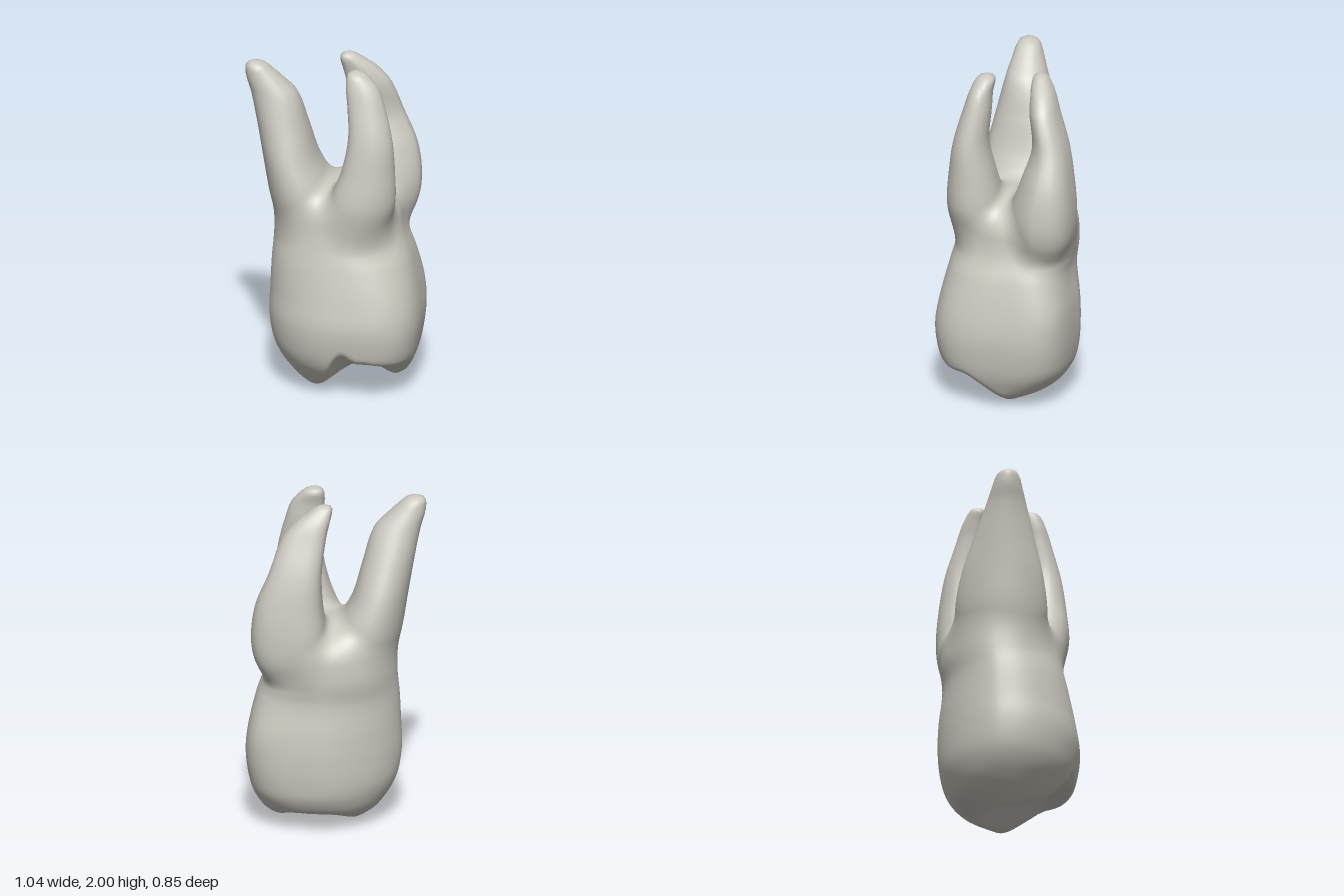
import * as THREE from 'three';

// Cross-sections: [y, centre x, centre z, radius x, radius z, then the outline
// exponent of each corner: -x+z, +x+z, -x-z, +x-z] (2 is an ellipse)
const CROWN = [
  [-0.02, 0.11, 0.04, 0.23, 0.16, 2, 2, 2, 2],
  [0.05, 0.10, 0.025, 0.305, 0.245, 2, 2, 2, 2],
  [0.1, 0.09, 0.005, 0.345, 0.3, 2.1, 2.4, 2, 2.4],
  [0.2, 0.078, 0.005, 0.403, 0.37, 2.1, 2.9, 1.8, 3],
  [0.3, 0.07, 0.01, 0.435, 0.4, 2.1, 3.1, 1.75, 3.4],
  [0.45, 0.068, 0.015, 0.452, 0.415, 2.1, 3, 1.7, 3.8],
  [0.6, 0.063, 0.008, 0.442, 0.402, 2.1, 2.9, 1.7, 4.2],
  [0.8, 0.045, 0, 0.415, 0.37, 2.1, 2.4, 1.7, 3.6],
  [0.95, 0.028, -0.022, 0.38, 0.358, 2, 2, 1.8, 2.7],
  [1.1, 0.035, -0.03, 0.355, 0.345, 1.9, 1.9, 1.8, 2.4],
  [1.3, 0.06, -0.03, 0.33, 0.33, 1.9, 1.9, 1.8, 2.4],
];

// A root keeps the same corner exponents from base to tip
const root = (corners, sections) => sections.map((s) => [...s, ...corners]);
const ROOTS = {
  palatalRoot: root([2, 2.2, 2, 2.2], [
    [0.9, -0.12, 0, 0.2, 0.21], [1.05, -0.17, 0, 0.185, 0.245],
    [1.2, -0.195, 0, 0.195, 0.272], [1.4, -0.26, 0.01, 0.162, 0.245],
    [1.6, -0.305, 0.025, 0.15, 0.188], [1.8, -0.355, 0.045, 0.137, 0.125],
    [1.9, -0.415, 0.057, 0.105, 0.092], [1.97, -0.455, 0.065, 0.07, 0.067],
    [2.0, -0.465, 0.07, 0.05, 0.045],
  ]),
  frontRoot: root([2.5, 1.9, 2.5, 2], [
    [0.9, 0.15, 0.15, 0.16, 0.14], [1.05, 0.168, 0.168, 0.178, 0.173],
    [1.2, 0.192, 0.193, 0.193, 0.17], [1.4, 0.228, 0.205, 0.157, 0.138],
    [1.6, 0.24, 0.21, 0.13, 0.103], [1.8, 0.21, 0.18, 0.11, 0.081],
    [1.9, 0.185, 0.165, 0.097, 0.067], [1.97, 0.155, 0.145, 0.066, 0.058],
    [2.0, 0.145, 0.14, 0.045, 0.04],
  ]),
  backRoot: root([3.1, 1.5, 2.6, 2.7], [
    [0.9, 0.2, -0.2, 0.17, 0.15], [1.05, 0.24, -0.22, 0.208, 0.19],
    [1.2, 0.25, -0.23, 0.222, 0.195], [1.4, 0.248, -0.255, 0.197, 0.155],
    [1.6, 0.21, -0.265, 0.155, 0.107], [1.8, 0.165, -0.215, 0.13, 0.087],
    [1.9, 0.115, -0.19, 0.1, 0.072], [1.97, 0.062, -0.165, 0.062, 0.052],
    [2.0, 0.05, -0.16, 0.045, 0.038],
  ]),
};

// Smooth interpolation of a section table at height y
function sectionAt(table, y) {
  const last = table.length - 1;
  if (y <= table[0][0]) return table[0];
  if (y >= table[last][0]) return table[last];
  let i = 0;
  while (table[i + 1][0] < y) i++;
  const a = table[i], b = table[i + 1];
  const p = table[Math.max(i - 1, 0)], n = table[Math.min(i + 2, last)];
  const w = b[0] - a[0], t = (y - a[0]) / w, t2 = t * t, t3 = t2 * t;
  return a.map((va, c) => {
    const m0 = (b[c] - p[c]) / (b[0] - p[0]) * w;
    const m1 = (n[c] - va) / (n[0] - a[0]) * w;
    return (2 * t3 - 3 * t2 + 1) * va + (t3 - 2 * t2 + t) * m0 + (3 * t2 - 2 * t3) * b[c] + (t3 - t2) * m1;
  });
}

// Rounded union and intersection of two distances
function smin(a, b, k) {
  const h = Math.max(k - Math.abs(a - b), 0) / k;
  return Math.min(a, b) - h * h * k / 4;
}
const smax = (a, b, k) => -smin(-a, -b, k);

// Distance to a column of cross-sections
function column(table, x, y, z) {
  const [, cx, cz, rx, rz, ...corners] = sectionAt(table, y);
  const e = corners[(x > cx ? 1 : 0) + (z > cz ? 0 : 2)];
  const q = (Math.abs((x - cx) / rx) ** e + Math.abs((z - cz) / rz) ** e) ** (1 / e);
  return (q - 1) * Math.min(rx, rz);
}

// One cone-shaped cusp, with its own steepness towards the front and back
function cusp(x, z, [cx, cz, height, slope, front, back]) {
  const dz = (z - cz) * (z > cz ? front : back);
  return height + slope * (Math.hypot(x - cx, dz, 0.04) - 0.04);
}

// Height of the chewing surface: three cusps, a ridge and a front groove
function chewingHeight(x, z) {
  const ridge = 0.1 + 0.22 * THREE.MathUtils.smoothstep(z, -0.2, 0.25);
  let h = smin(
    cusp(x, z, [-0.12, 0.06, -0.01, 0.72, 0.5, 0.5]),
    cusp(x, z, [0.36, -0.08, 0.02, 0.78, 1, 0.45]), 0.03);
  h = smin(h, cusp(x, z, [0.42, 0.25, 0.2, 0.2, 0.5, 0.5]), 0.03);
  h = smin(h, ridge, 0.03);
  return h + 0.13 * Math.exp(-((x - 0.08) ** 2) / 0.007 - ((z - 0.4) ** 2) / 0.03);
}

// Whole body: domed crown blended with three roots
function field(x, y, z) {
  let d = column(CROWN, x, y, z);
  const dome = 1.27 - 0.9 * ((x - 0.03) ** 2 + (z + 0.02) ** 2);
  d = smax(d, y - dome, 0.1);
  d = smax(d, chewingHeight(x, z) - y, 0.04);
  if (y > 0.75) {
    let r = Infinity;
    for (const table of Object.values(ROOTS)) {
      const tipped = smax(column(table, x, y, z), y - 2, 0.04);
      r = r === Infinity ? tipped : smin(r, tipped, 0.05);
    }
    d = smin(d, smax(r, 0.88 - y, 0.1), 0.07);
  }
  return d;
}

// Grid surface: one vertex per crossed cell, one quad per crossed edge
function buildSurface(step, min, size) {
  const [nx, ny] = size;
  const stride = [1, nx, nx * ny];
  const total = nx * ny * size[2];
  const values = new Float32Array(total);
  const ids = new Int32Array(total).fill(-1);
  const eachCell = (start, fn) => {
    for (let k = start; k < size[2] - 1; k++)
      for (let j = start; j < ny - 1; j++)
        for (let i = start; i < nx - 1; i++) fn(i, j, k, i + j * nx + k * nx * ny);
  };
  for (let k = 0, n = 0; k < size[2]; k++)
    for (let j = 0; j < ny; j++)
      for (let i = 0; i < nx; i++) values[n++] = field(min[0] + i * step, min[1] + j * step, min[2] + k * step);

  const positions = [], normals = [], quads = [];
  eachCell(0, (i, j, k, n) => {
    const sum = [0, 0, 0];
    let count = 0;
    for (let c = 0; c < 8; c++) {
      const corner = [c & 1, (c >> 1) & 1, (c >> 2) & 1];
      const a = n + corner[0] * stride[0] + corner[1] * stride[1] + corner[2] * stride[2];
      for (let axis = 0; axis < 3; axis++) {
        if (corner[axis]) continue;
        const va = values[a], vb = values[a + stride[axis]];
        if ((va < 0) === (vb < 0)) continue;
        for (let m = 0; m < 3; m++) sum[m] += corner[m] + (m === axis ? va / (va - vb) : 0);
        count++;
      }
    }
    if (!count) return;
    ids[n] = positions.length / 3;
    const [x, y, z] = [i, j, k].map((g, m) => min[m] + (g + sum[m] / count) * step);
    const e = 0.012;
    const g = new THREE.Vector3(
      field(x + e, y, z) - field(x - e, y, z),
      field(x, y + e, z) - field(x, y - e, z),
      field(x, y, z + e) - field(x, y, z - e)).normalize();
    positions.push(x, y, z);
    normals.push(g.x, g.y, g.z);
  });
  eachCell(1, (i, j, k, n) => {
    for (let axis = 0; axis < 3; axis++) {
      const inside = values[n] < 0;
      if (inside === (values[n + stride[axis]] < 0)) continue;
      const u = stride[(axis + 1) % 3], v = stride[(axis + 2) % 3];
      const q = [ids[n], ids[n - u], ids[n - u - v], ids[n - v]];
      quads.push(inside ? q : q.reverse());
    }
  });
  return { positions, normals, quads };
}

export function createModel() {
  const enamel = new THREE.MeshStandardMaterial({ color: 0xcbc8bf });
  enamel.name = 'warm grey enamel';
  const { positions, normals, quads } = buildSurface(0.02, [-0.6, -0.08, -0.5], [62, 108, 51]);
  const position = new THREE.Float32BufferAttribute(positions, 3);
  const normal = new THREE.Float32BufferAttribute(normals, 3);

  // Sort the faces into the crown and the three roots, sharing smooth normals
  const parts = { crown: [], palatalRoot: [], frontRoot: [], backRoot: [] };
  for (const [a, b, c, d] of quads) {
    const x = position.getX(a), y = position.getY(a), z = position.getZ(a);
    const name = y < 0.95 ? 'crown' : x < 0 ? 'palatalRoot' : z > 0 ? 'frontRoot' : 'backRoot';
    parts[name].push(a, b, c, a, c, d);
  }
  const tooth = new THREE.Group();
  tooth.name = 'tooth';
  for (const [name, index] of Object.entries(parts)) {
    const geometry = new THREE.BufferGeometry();
    geometry.setAttribute('position', position);
    geometry.setAttribute('normal', normal);
    geometry.setIndex(index);
    const mesh = new THREE.Mesh(geometry, enamel);
    mesh.name = name;
    tooth.add(mesh);
  }
  return tooth;
}
